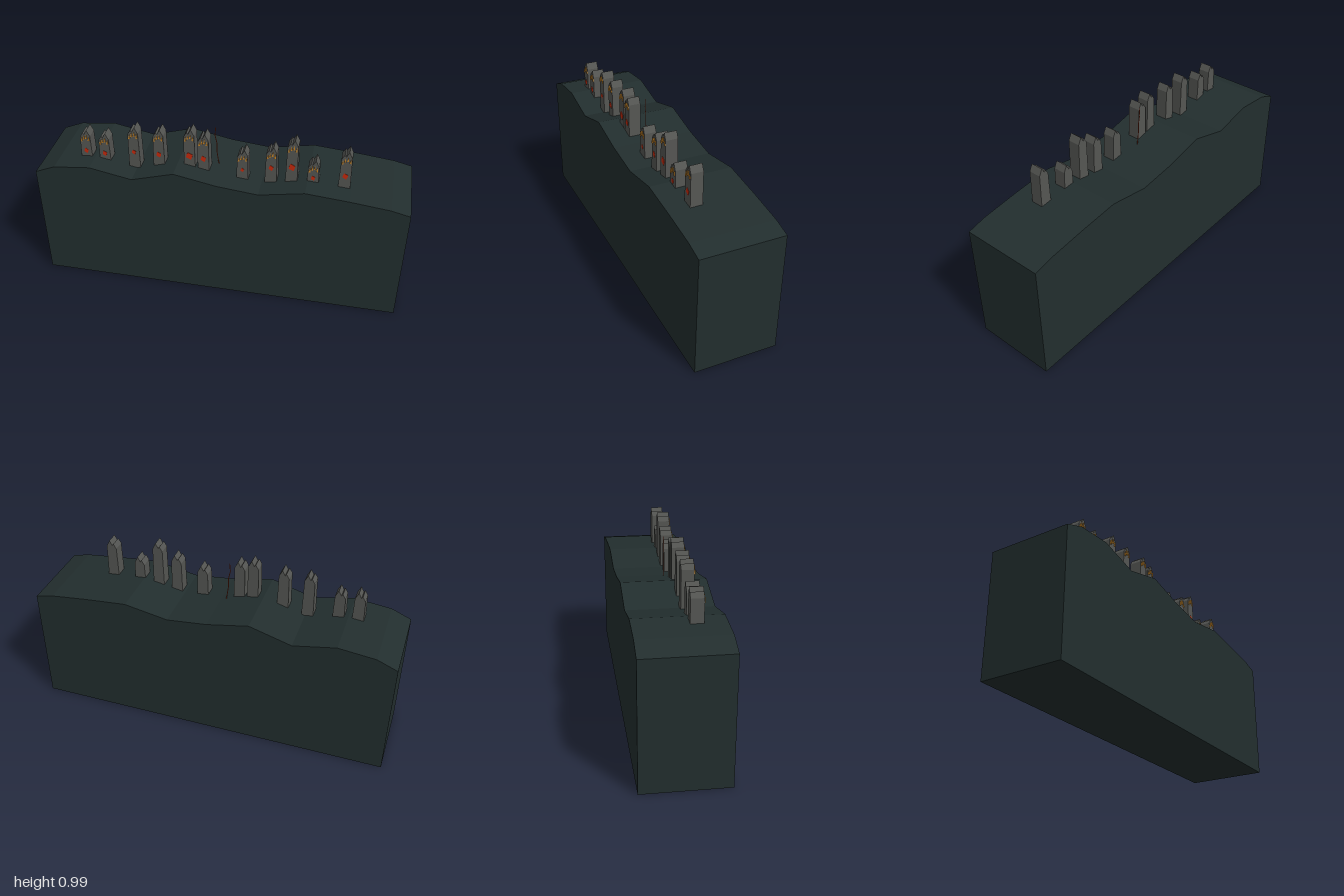
import * as THREE from 'three';

const flat = (name, color) => {
  const m = new THREE.MeshStandardMaterial({ color });
  m.name = name;
  return m;
};

// Extrude an outline of [x, y] points from z0 to z1
function slab(name, points, z0, z1, material) {
  const shape = new THREE.Shape(points.map(([x, y]) => new THREE.Vector2(x, y)));
  const geometry = new THREE.ExtrudeGeometry(shape, { depth: z1 - z0, bevelEnabled: false });
  geometry.translate(0, 0, z0);
  const mesh = new THREE.Mesh(geometry, material);
  mesh.name = name;
  return mesh;
}

export function createModel() {
  const earth = flat('dark earth', 0x222e2e);
  const stone = flat('grey stone', 0x555653);
  const gold = flat('gold', 0xc8862a);
  const red = flat('ember red', 0xc82a0c);
  const rust = flat('rust', 0x9c3a20);

  const model = new THREE.Group();
  model.name = 'towersOnRidge';

  // Ridge: one rolling skyline carried through the full depth
  const skyline = [
    [1, 0.682], [0.9, 0.706], [0.69, 0.73], [0.46, 0.75], [0.22, 0.705], [0, 0.728],
    [-0.23, 0.773], [-0.46, 0.705], [-0.69, 0.75], [-0.89, 0.728], [-1, 0.682],
  ];
  model.add(slab('ridge', [[-1, 0], [1, 0], ...skyline], -0.227, 0.227, earth));

  // Towers: centre x, peak height, centre height and half width of the red mark
  const towers = [
    [-0.74, 0.908, 0.78, 0.013], [-0.637, 0.9, 0.775, 0.014], [-0.472, 0.958, 0.805, 0.012],
    [-0.335, 0.96, 0.807, 0.015], [-0.168, 0.982, 0.82, 0.02], [-0.093, 0.962, 0.812, 0.016],
    [0.116, 0.893, 0.77, 0.01], [0.267, 0.93, 0.803, 0.014], [0.375, 0.985, 0.822, 0.019],
    [0.487, 0.877, 0.77, 0.012], [0.65, 0.95, 0.805, 0.016],
  ];
  const base = 0.695;
  towers.forEach(([x, top, markY, r]) => {
    const tower = new THREE.Group();
    tower.name = 'tower';
    tower.position.x = x;

    // Body with a broken gable top
    tower.add(slab('towerBody', [
      [-0.032, base], [0.032, base], [0.028, top - 0.036], [0.01, top],
      [-0.005, top - 0.028], [-0.012, top - 0.018], [-0.028, top - 0.045],
    ], 0.046, 0.113, stone));

    // Small gold spikes across the front
    for (const [sx, sy] of [[-0.02, -0.062], [-0.008, -0.05], [0.006, -0.045], [0.019, -0.056]]) {
      tower.add(slab('goldSpike', [
        [sx - 0.005, top + sy - 0.008], [sx + 0.005, top + sy - 0.008], [sx + 0.002, top + sy + 0.018],
      ], 0.112, 0.117, gold));
    }

    // Ragged red mark on the front
    const ragged = [1, 0.75, 1.05, 0.8, 0.95, 0.7, 1.05, 0.8].map((k, i) => {
      const a = (i / 8) * Math.PI * 2 + 0.4;
      return [Math.cos(a) * r * k, markY + Math.sin(a) * (r + 0.003) * k];
    });
    tower.add(slab('redMark', ragged, 0.112, 0.115, red));
    model.add(tower);
  });

  // Leaning hair-thin streak behind the towers
  const streak = [[-0.046, 0.957], [-0.05, 0.91], [-0.039, 0.86], [-0.04, 0.81], [-0.028, 0.725]];
  const right = streak.map(([x, y]) => [x + 0.004, y]).reverse();
  model.add(slab('streak', [...streak, ...right], 0.0245, 0.0265, rust));

  return model;
}
